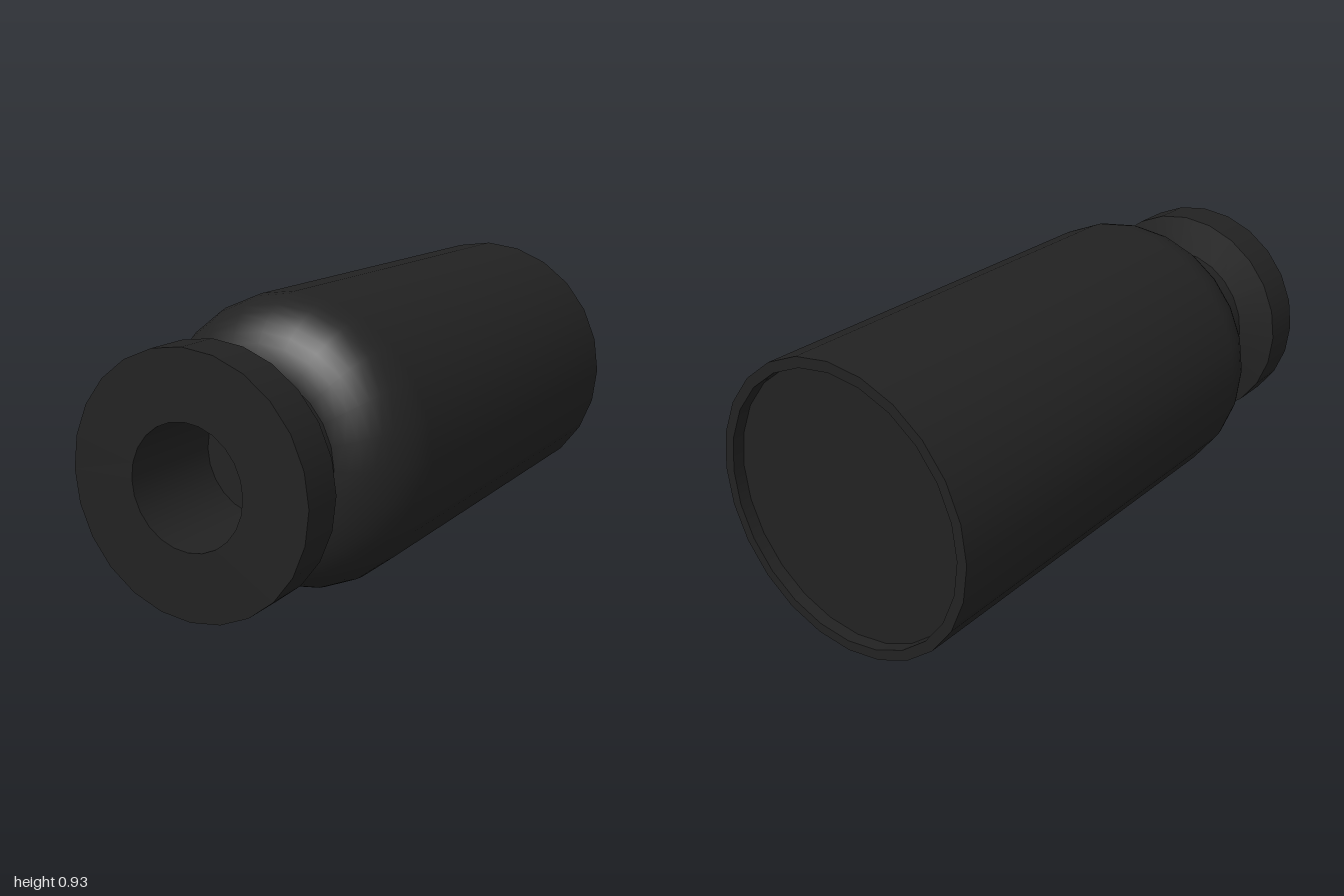
import * as THREE from 'three';

const SIDES = 24;
const CENTRE_Y = 0.464;
const material = new THREE.MeshStandardMaterial({ color: 0x222222 });

// One smooth band of the turned profile; points are [radius, z], listed back to front.
function band(points) {
  const profile = points.map(([r, z]) => new THREE.Vector2(r, z));
  const geometry = new THREE.LatheGeometry(profile, SIDES);
  geometry.rotateX(Math.PI / 2);
  return new THREE.Mesh(geometry, material);
}

// A named part made of several bands, so the edges between bands stay sharp.
function turnedPart(name, bands) {
  const part = new THREE.Group();
  part.name = name;
  bands.forEach((points) => part.add(band(points)));
  return part;
}

export function createModel() {
  const model = new THREE.Group();
  model.name = 'bottleShapedPart';

  const bodyR = 0.463, neckR = 0.263, flangeR = 0.39, boreR = 0.185;
  const recessR = 0.43, recessZ = -0.96, boreZ = 0.64;

  // Straight wall running into a rounded shoulder
  const round = 0.228, shoulderZ = 0.43;
  const wall = [[bodyR, -1]];
  for (let i = 0; i <= 10; i++) {
    const a = (i / 10) * Math.PI / 2;
    wall.push([bodyR - round + round * Math.cos(a), shoulderZ + round * Math.sin(a)]);
  }
  model.add(turnedPart('body', [wall]));

  // Back end with a thin rim around a shallow recess
  model.add(turnedPart('recessedBase', [
    [[0, recessZ], [recessR, recessZ]],
    [[recessR, recessZ], [recessR, -1]],
    [[recessR, -1], [bodyR, -1]],
  ]));

  model.add(turnedPart('neck', [[[neckR, 0.64], [neckR, 0.845]]]));

  // Flange with a slightly conical back face
  model.add(turnedPart('flange', [
    [[neckR, 0.84], [flangeR, 0.86]],
    [[flangeR, 0.86], [flangeR, 1]],
    [[flangeR, 1], [boreR, 1]],
  ]));

  // Blind hole through flange and neck
  model.add(turnedPart('bore', [
    [[boreR, 1], [boreR, boreZ]],
    [[boreR, boreZ], [0, boreZ]],
  ]));

  model.children.forEach((part) => { part.position.y = CENTRE_Y; });
  return model;
}
